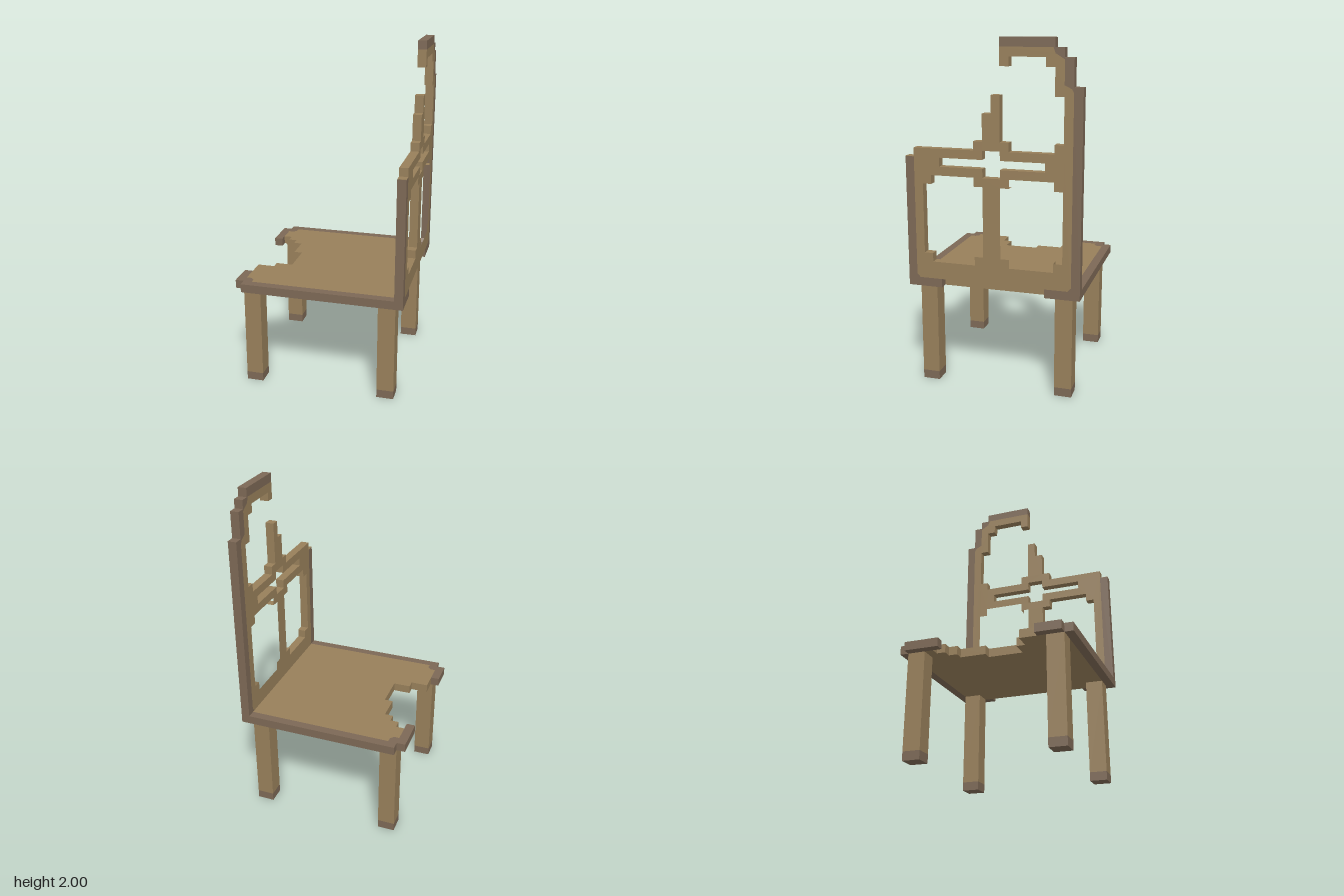
import * as THREE from 'three';

const T = 0.05; // board thickness
const wood = new THREE.MeshStandardMaterial({ color: 0x977f5a });
wood.name = 'light wood';
const trim = new THREE.MeshStandardMaterial({ color: 0x7c6855 });
trim.name = 'dark wood trim';

const points = list => list.map(([a, b]) => new THREE.Vector2(a, b));

function board(outline, holes = []) {
  const shape = new THREE.Shape(points(outline));
  holes.forEach(h => shape.holes.push(new THREE.Path(points(h))));
  return new THREE.ExtrudeGeometry(shape, { depth: T, bevelEnabled: false });
}

function add(group, name, geometry, material) {
  const mesh = new THREE.Mesh(geometry, material);
  mesh.name = name;
  group.add(mesh);
  return mesh;
}

// Backrest outlines are drawn as (-z, y) and stand along the +x edge
const upright = (outline, holes) => board(outline, holes).rotateY(Math.PI / 2).translate(0.5 - T, 0, 0);
// Seat outlines are drawn as (x, -z) and lie flat
const flat = outline => board(outline).rotateX(-Math.PI / 2).translate(0, 0.6, 0);

function createBackrest() {
  const group = new THREE.Group();
  group.name = 'backrest';

  // Inner edge of the trim along the tall post, from top to bottom
  const seam = [[0.34, 1.95], [0.35, 1.92], [0.4, 1.89], [0.4, 1.76], [0.44, 1.74], [0.45, 1.72], [0.45, 0.67], [0.43, 0.65]];
  const windowHole = s => [
    [0.4, 0.8], [0.35, 0.8], [0.35, 0.75], [0.1, 0.75], [0.1, 0.8], [0.05, 0.8],
    [0.05, 1.2], [0.1, 1.2], [0.1, 1.25], [0.35, 1.25], [0.35, 1.2], [0.4, 1.2],
  ].map(([u, y]) => [s * u, y]);
  const slot = [
    [-0.3, 1.3], [-0.05, 1.3], [-0.05, 1.25], [0.05, 1.25], [0.05, 1.3], [0.3, 1.3],
    [0.3, 1.35], [0.05, 1.35], [0.05, 1.4], [-0.05, 1.4], [-0.05, 1.35], [-0.3, 1.35],
  ];

  // Pierced panel with broken upper edge and hooked top
  add(group, 'backPanel', upright([
    [-0.43, 0.65], [-0.45, 0.67], [-0.45, 1.4], [-0.1, 1.4], [-0.1, 1.45], [-0.05, 1.45],
    [-0.05, 1.6], [0, 1.6], [0, 1.7], [0.05, 1.7], [0.05, 1.45], [0.1, 1.45], [0.1, 1.4],
    [0.35, 1.4], [0.35, 1.45], [0.4, 1.45], [0.4, 1.7], [0.35, 1.7], [0.35, 1.85],
    [0.3, 1.85], [0.3, 1.9], [0.1, 1.9], [0.1, 1.85], [0.05, 1.85], [0.05, 1.95], ...seam,
  ], [windowHole(1), windowHole(-1), slot]), wood);

  // Trim on the short post and on the tall post
  add(group, 'shortPostTrim', upright([
    [-0.5, 0.6], [-0.3, 0.6], [-0.3, 0.65], [-0.43, 0.65], [-0.45, 0.67], [-0.45, 1.35], [-0.5, 1.35],
  ]), trim);
  add(group, 'tallPostTrim', upright([
    [0.3, 0.6], [0.5, 0.6], [0.5, 1.75], [0.45, 1.75], [0.45, 1.9], [0.4, 1.9], [0.4, 1.95],
    [0.35, 1.95], [0.35, 2], [0.05, 2], [0.05, 1.95], ...seam, [0.3, 0.65],
  ]), trim);

  // Bare wood where the short post is broken off
  add(group, 'brokenPostEnd', new THREE.BoxGeometry(T, 0.002, T), wood).position.set(0.475, 1.351, 0.475);
  return group;
}

function createSeat() {
  const group = new THREE.Group();
  group.name = 'seat';

  // Board with a broken side
  add(group, 'seatBoard', flat([
    [0.45, -0.45], [0.45, 0.45], [-0.4, 0.45], [-0.4, 0.42], [-0.42, 0.4], [-0.45, 0.4],
    [-0.45, 0.3], [-0.4, 0.3], [-0.4, 0.25], [-0.35, 0.25], [-0.35, 0.2], [-0.3, 0.2],
    [-0.3, 0.05], [-0.25, 0.05], [-0.25, -0.15], [-0.35, -0.15], [-0.35, -0.2], [-0.45, -0.2],
    [-0.45, -0.4], [-0.42, -0.4], [-0.4, -0.42], [-0.4, -0.45],
  ]), wood);

  // Edge trim wrapping each corner up to the break
  for (const [name, s, end] of [['rearSeatTrim', 1, 0.25], ['frontSeatTrim', -1, 0.3]]) {
    add(group, name, flat([
      [0.45, 0.5], [-0.45, 0.5], [-0.45, 0.45], [-0.5, 0.45], [-0.5, end], [-0.45, end],
      [-0.45, 0.4], [-0.42, 0.4], [-0.4, 0.42], [-0.4, 0.45], [0.45, 0.45],
    ].map(([x, v]) => [x, s * v])), trim);
  }
  return group;
}

function createLeg(x, z) {
  const group = new THREE.Group();
  group.name = (z > 0 ? 'front' : 'rear') + (x > 0 ? 'Left' : 'Right') + 'Leg';
  add(group, 'legPost', new THREE.BoxGeometry(0.1, 0.55, 0.1), wood).position.y = 0.325;
  add(group, 'legFoot', new THREE.BoxGeometry(0.1, T, 0.1), trim).position.y = T / 2;
  group.position.set(x, 0, z);
  return group;
}

export function createModel() {
  const model = new THREE.Group();
  model.name = 'brokenChair';
  model.add(createBackrest(), createSeat());
  for (const x of [-0.4, 0.4]) for (const z of [-0.4, 0.4]) model.add(createLeg(x, z));
  return model;
}
